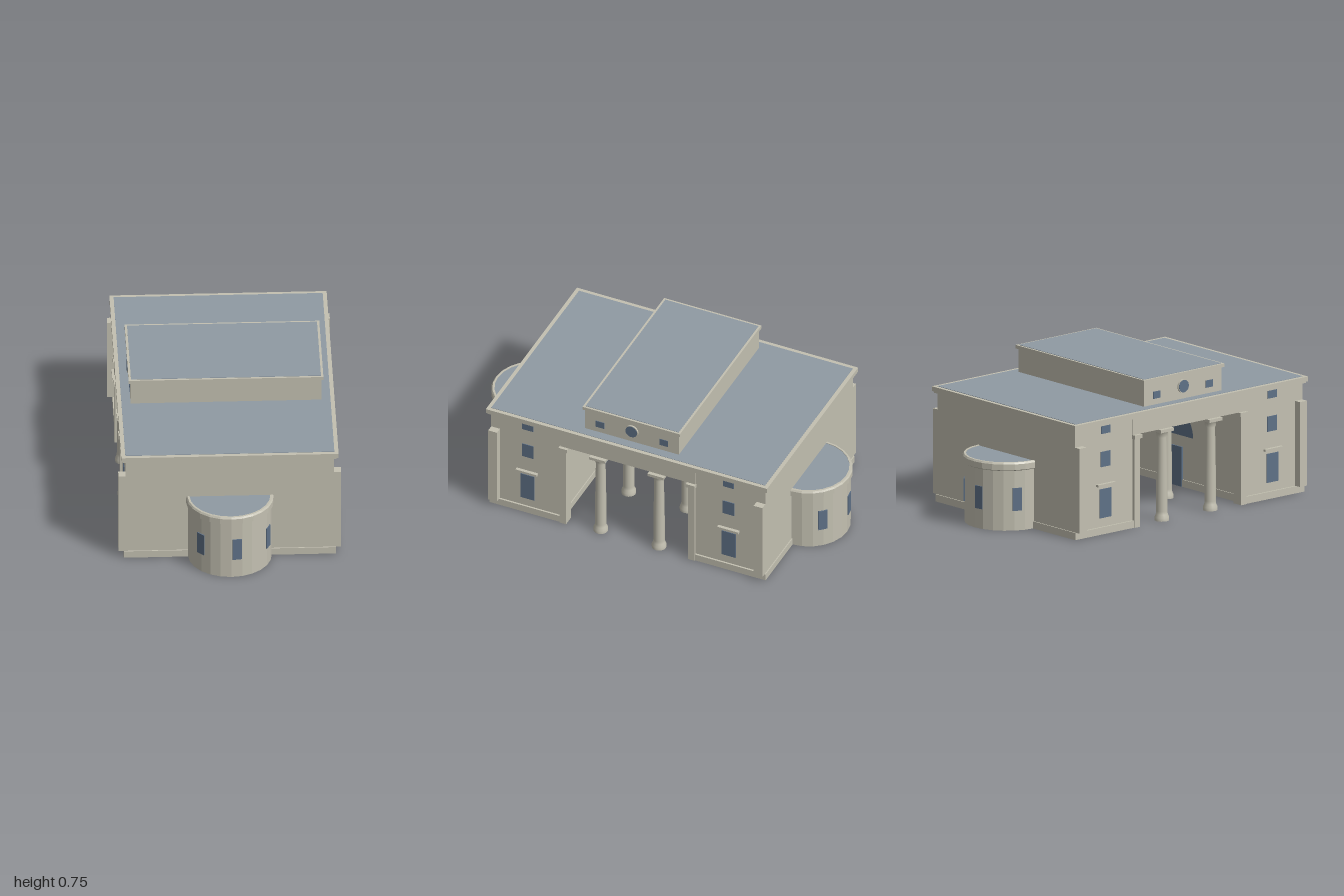
import * as THREE from 'three';

const stone = new THREE.MeshStandardMaterial({ color: 0xc3c0b1, side: THREE.DoubleSide });
stone.name = 'stone';
const roofing = new THREE.MeshStandardMaterial({ color: 0x8f9aa3 });
roofing.name = 'roofing';
const glass = new THREE.MeshStandardMaterial({ color: 0x5f7187 });
glass.name = 'glass';

function add(parent, name, geometry, material, x = 0, y = 0, z = 0) {
  const mesh = new THREE.Mesh(geometry, material);
  mesh.name = name;
  mesh.position.set(x, y, z);
  parent.add(mesh);
  return mesh;
}

// Box given by its extents on each axis
function block(parent, name, material, [x0, x1], [y0, y1], [z0, z1], openBottom = false) {
  const g = new THREE.BoxGeometry(x1 - x0, y1 - y0, z1 - z0);
  if (openBottom) {
    const index = Array.from(g.index.array);
    index.splice(18, 6);
    g.clearGroups();
    g.setIndex(index);
  }
  return add(parent, name, g, material, (x0 + x1) / 2, (y0 + y1) / 2, (z0 + z1) / 2);
}

function faceted(geometry) {
  const g = geometry.toNonIndexed();
  g.computeVertexNormals();
  return g;
}

const profile = (pairs) => pairs.map(([r, y]) => new THREE.Vector2(r, y));

// Half-round projection on the end wall
function buildApse() {
  const apse = new THREE.Group();
  apse.name = 'apse';
  apse.position.z = 0.775;
  const half = [-Math.PI / 2, Math.PI];
  add(apse, 'apseWall', faceted(new THREE.CylinderGeometry(0.215, 0.215, 0.32, 12, 1, true, ...half)), stone, 0, 0.16, 0);
  const rim = profile([[0.213, 0.315], [0.225, 0.322], [0.225, 0.352], [0.219, 0.361], [0.208, 0.361], [0.208, 0.355]]);
  add(apse, 'apseRim', faceted(new THREE.LatheGeometry(rim, 12, ...half)), stone);
  add(apse, 'apseRoof', new THREE.CircleGeometry(0.209, 12, Math.PI, Math.PI).rotateX(-Math.PI / 2), roofing, 0, 0.358, 0);
  for (const degrees of [-46, 8, 64]) {
    const a = THREE.MathUtils.degToRad(degrees);
    const pane = add(apse, 'apseWindow', new THREE.BoxGeometry(0.048, 0.12, 0.008), glass,
      Math.sin(a) * 0.2145, 0.165, Math.cos(a) * 0.2145);
    pane.rotation.y = a;
  }
  return apse;
}

// Rectangular ring standing out from the foot of a wing
function plinthGeometry() {
  const rect = (path, x, z0, z1) => {
    path.moveTo(-x, -z1);
    path.lineTo(x, -z1);
    path.lineTo(x, -z0);
    path.lineTo(-x, -z0);
    path.closePath();
    return path;
  };
  const shape = rect(new THREE.Shape(), 0.545, 0.375, 0.781);
  shape.holes.push(rect(new THREE.Path(), 0.533, 0.382, 0.773));
  return new THREE.ExtrudeGeometry(shape, { depth: 0.038, bevelEnabled: false }).rotateX(-Math.PI / 2);
}

function buildWing() {
  const wing = new THREE.Group();
  wing.name = 'wing';
  block(wing, 'wingWalls', stone, [-0.535, 0.535], [0, 0.58], [0.38, 0.775], true);
  add(wing, 'plinth', plinthGeometry(), stone);
  for (const s of [-1, 1]) {
    const span = (a, b) => (s > 0 ? [a, b] : [-b, -a]);
    // Corner pilasters
    block(wing, 'outerPilaster', stone, span(0.53, 0.572), [0.038, 0.487], [0.726, 0.775]);
    block(wing, 'innerPilaster', stone, span(0.49, 0.55), [0, 0.47], [0.345, 0.381]);
    block(wing, 'pilasterCapital', stone, span(0.484, 0.557), [0.47, 0.49], [0.335, 0.385]);
    // Side windows and sill
    block(wing, 'tallWindow', glass, span(0.532, 0.539), [0.085, 0.238], [0.53, 0.608]);
    block(wing, 'middleWindow', glass, span(0.532, 0.539), [0.355, 0.435], [0.535, 0.6]);
    block(wing, 'upperWindow', glass, span(0.532, 0.539), [0.53, 0.575], [0.537, 0.598]);
    block(wing, 'windowHood', stone, span(0.53, 0.553), [0.255, 0.267], [0.51, 0.63]);
  }
  // Door and lunette facing the passage
  block(wing, 'passageDoor', glass, [-0.055, 0.055], [0, 0.21], [0.373, 0.38 - 0.0065 + 0.0075]);
  wing.children[wing.children.length - 1].position.z = 0.3765;
  const lunette = add(wing, 'lunette', new THREE.CircleGeometry(0.14, 20, 0, Math.PI), glass, 0, 0.27, 0.376);
  lunette.rotation.y = Math.PI;
  wing.add(buildApse());
  return wing;
}

function buildColonnade() {
  const colonnade = new THREE.Group();
  colonnade.name = 'colonnade';
  const shaft = new THREE.LatheGeometry(profile([
    [0.038, 0], [0.038, 0.018], [0.031, 0.033], [0.0295, 0.05], [0.029, 0.2],
    [0.025, 0.44], [0.03, 0.45], [0.028, 0.46], [0.038, 0.476],
  ]), 16);
  for (const z of [-0.165, 0.165]) {
    for (const x of [-0.515, -0.172, 0.172, 0.515]) {
      add(colonnade, 'column', shaft, stone, x, 0, z);
      add(colonnade, 'abacus', new THREE.BoxGeometry(0.09, 0.016, 0.09), stone, x, 0.482, z);
    }
  }
  return colonnade;
}

function buildAttic() {
  const attic = new THREE.Group();
  attic.name = 'attic';
  block(attic, 'atticWalls', stone, [-0.49, 0.49], [0.6, 0.738], [-0.265, 0.265]);
  block(attic, 'atticCornice', stone, [-0.5, 0.5], [0.735, 0.753], [-0.275, 0.275]);
  block(attic, 'atticRoof', roofing, [-0.488, 0.488], [0.75, 0.755], [-0.263, 0.263]);
  for (const s of [-1, 1]) {
    const disc = (r, depth) => new THREE.CylinderGeometry(r, r, depth, 24).rotateZ(Math.PI / 2);
    add(attic, 'roundWindowFrame', disc(0.037, 0.014), stone, s * 0.491, 0.678, 0);
    add(attic, 'roundWindow', disc(0.033, 0.006), glass, s * 0.4965, 0.678, 0);
    for (const z of [-0.18, 0.18]) {
      add(attic, 'atticWindow', new THREE.BoxGeometry(0.008, 0.038, 0.048), glass, s * 0.489, 0.661, z);
    }
  }
  return attic;
}

export function createModel() {
  const model = new THREE.Group();
  model.name = 'gatehouse';

  // Two matching wings, turned half round from each other
  for (const turn of [0, Math.PI]) {
    const wing = buildWing();
    wing.rotation.y = turn;
    model.add(wing);
  }

  // Passage between the wings
  model.add(buildColonnade());
  block(model, 'architrave', stone, [-0.54, 0.54], [0.49, 0.58], [-0.382, 0.382]);

  // Stepped cornice and main roof
  block(model, 'corniceLower', stone, [-0.55, 0.55], [0.575, 0.586], [-0.787, 0.787]);
  block(model, 'corniceUpper', stone, [-0.558, 0.558], [0.584, 0.609], [-0.795, 0.795]);
  block(model, 'mainRoof', roofing, [-0.537, 0.537], [0.606, 0.611], [-0.774, 0.774]);
  model.add(buildAttic());
  return model;
}
